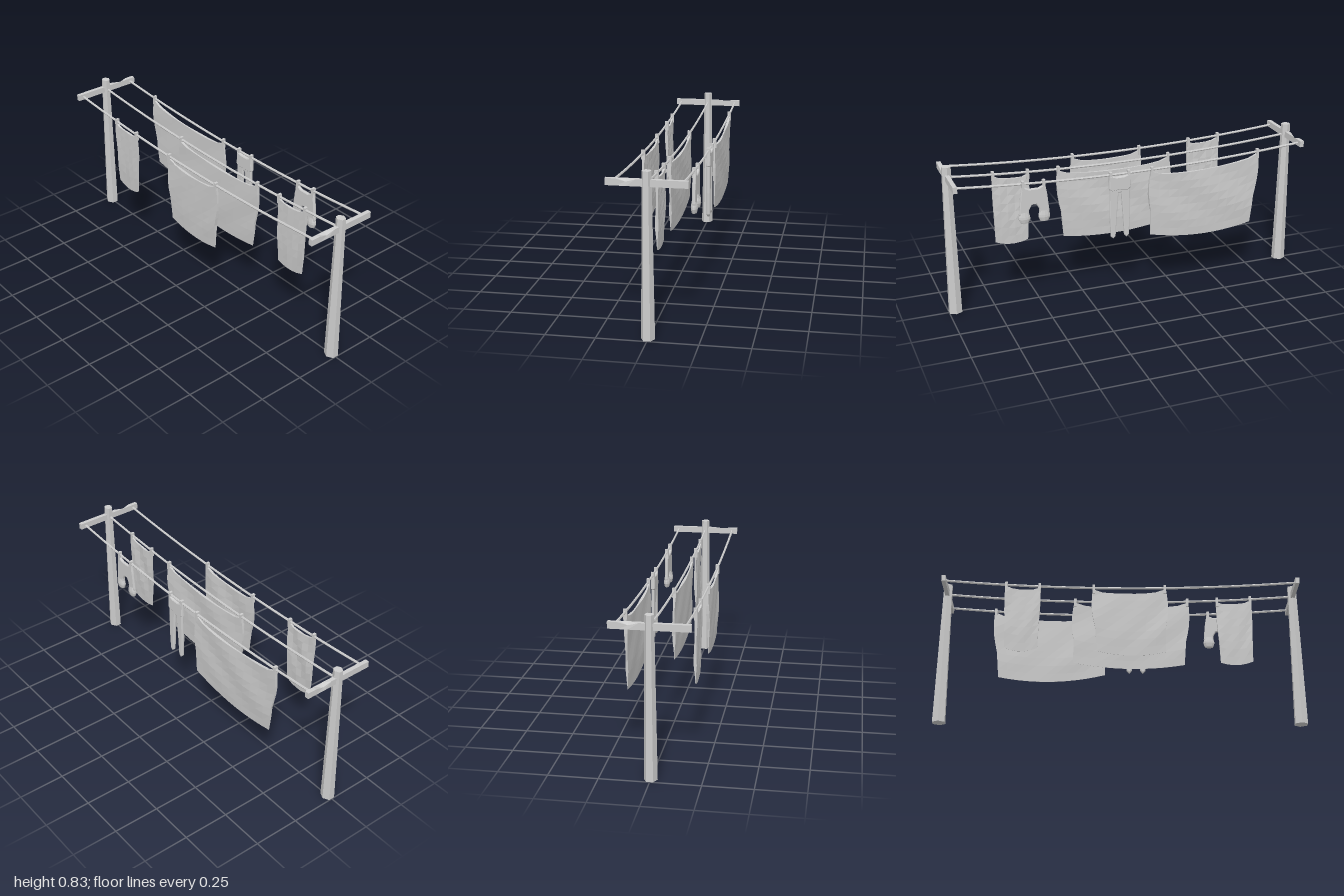
import * as THREE from 'three';

const material = new THREE.MeshStandardMaterial({ color: 0xcccccc, flatShading: true, side: THREE.DoubleSide });
const POST_X = 0.966;
const LINE_Z = 0.165;
const lineY = (x) => 0.728 + 0.042 * (x / POST_X) ** 2;
const lerp = THREE.MathUtils.lerp;

function part(name, geometry) {
  const mesh = new THREE.Mesh(geometry, material);
  mesh.name = name;
  return mesh;
}

// Moves every vertex of a geometry by a rule
function reshape(geometry, rule) {
  const pos = geometry.attributes.position;
  const v = new THREE.Vector3();
  for (let i = 0; i < pos.count; i++) {
    rule(v.fromBufferAttribute(pos, i));
    pos.setXYZ(i, v.x, v.y, v.z);
  }
  geometry.computeVertexNormals();
  return geometry;
}

// Tapered six-sided post with a chipped crossbar
function makeSupport() {
  const group = new THREE.Group();
  group.name = 'support';
  const post = part('post', new THREE.CylinderGeometry(0.023, 0.034, 0.828, 6));
  post.scale.x = 1.13;
  post.position.y = 0.414;
  const bar = part('crossbar', reshape(new THREE.BoxGeometry(0.022, 0.034, 0.392, 1, 1, 8), (v) => {
    if (v.x > 0 && v.y > 0 && Math.abs(v.z - 0.098) < 0.01) {
      v.y -= 0.014;
      v.x -= 0.003;
    }
  }));
  bar.position.y = 0.77;
  group.add(post, bar);
  return group;
}

// Sagging rope between the posts
function makeLine(z) {
  const points = [];
  for (let i = 0; i <= 10; i++) {
    const x = lerp(-POST_X, POST_X, i / 10);
    points.push(new THREE.Vector3(x, lineY(x), z));
  }
  return part('clothesLine', new THREE.TubeGeometry(new THREE.CatmullRomCurve3(points), 20, 0.0065, 6));
}

// Peg gripping the line
function makePeg(x, z) {
  const peg = part('peg', new THREE.BoxGeometry(0.014, 0.052, 0.02));
  peg.position.set(x, lineY(x) - 0.01, z);
  return peg;
}

// Hanging cloth: a thin box drooping between its pegs, tapered to the hem
function makeCloth({ name, z, top, hem, hemY, sag, belly, flare = 0.012, phase }) {
  const nx = Math.max(5, Math.round((top[1] - top[0]) * 18));
  const geometry = reshape(new THREE.BoxGeometry(1, 1, 1, nx, 8, 1), (p) => {
    const u = p.x + 0.5;
    const v = 0.5 - p.y;
    const side = Math.sign(p.z);
    const arch = 4 * u * (1 - u);
    const bulge = flare * Math.sin(Math.PI * Math.min(1, v * 1.6)) * (u < 0.5 ? -1 : 1);
    const x = lerp(lerp(top[0], hem[0], v), lerp(top[1], hem[1], v), u) + bulge * Math.abs(2 * u - 1);
    const topY = lerp(lineY(top[0]), lineY(top[1]), u) - 0.008 - sag * Math.sqrt(arch);
    const bottomY = lerp(hemY[0], hemY[1], u) - belly * arch;
    const y = lerp(topY, bottomY, v);
    // Folds run in arcs from peg to peg and fade at the hem
    const fold = 0.0035 * Math.sin(u * 7 + phase + v * 5) * (1 - 0.5 * v) * Math.sin(Math.PI * Math.min(1, v + 0.15));
    const half = lerp(0.0075, 0.0095, Math.sin(Math.PI * v)) * Math.min(1, (1 - v) * 3 + 0.1)
      * (0.75 + 0.25 * Math.sin(u * 11 + phase + v * 9));
    p.set(x, y, z + fold + side * half);
  });
  return part(name, geometry);
}

// Puffy garment cut from an outline
function makeGarment(name, outline, z, depth) {
  const shape = new THREE.Shape(outline.map(([x, y]) => new THREE.Vector2(x, y)));
  const bevel = depth / 2 - 0.001;
  const geometry = new THREE.ExtrudeGeometry(shape, {
    depth: 0.002, bevelThickness: bevel, bevelSize: 0.006, bevelOffset: -0.006, bevelSegments: 2,
  });
  geometry.translate(0, 0, z - 0.001);
  return part(name, geometry);
}

// Completes a half outline (top centre to crotch) by mirroring it about x
function mirrored(cx, half) {
  const right = half.map(([x, y]) => [cx + x, y]);
  const left = half.map(([x, y]) => [cx - x, y]).reverse();
  return [...right, ...left];
}

export function createModel() {
  const model = new THREE.Group();
  model.name = 'washingLine';

  for (const side of [-1, 1]) {
    const support = makeSupport();
    support.position.x = side * POST_X;
    if (side < 0) support.rotation.y = Math.PI;
    model.add(support);
  }
  for (const z of [-LINE_Z, 0, LINE_Z]) model.add(makeLine(z));

  // Sheets and towels
  const cloths = [
    { name: 'backSheet', z: -LINE_Z, top: [-0.715, -0.085], hem: [-0.68, -0.085], hemY: [0.34, 0.355], sag: 0.042, belly: 0.035, phase: 0 },
    { name: 'middleSheet', z: 0, top: [-0.257, 0.38], hem: [-0.258, 0.352], hemY: [0.355, 0.345], sag: 0.035, belly: 0.03, phase: 2 },
    { name: 'frontSheet', z: LINE_Z, top: [-0.153, 0.247], hem: [-0.128, 0.24], hemY: [0.35, 0.345], sag: 0.03, belly: 0.024, phase: 4 },
    { name: 'frontTowel', z: LINE_Z, top: [-0.63, -0.437], hem: [-0.622, -0.445], hemY: [0.368, 0.365], sag: 0.018, belly: 0.022, flare: 0.003, phase: 1 },
    { name: 'middleTowel', z: 0, top: [0.535, 0.733], hem: [0.55, 0.728], hemY: [0.36, 0.368], sag: 0.02, belly: 0.018, flare: 0.003, phase: 3 },
  ];
  for (const cloth of cloths) {
    model.add(makeCloth(cloth));
    for (const [i, x] of cloth.top.entries()) model.add(makePeg(x + (i ? -0.006 : 0.006), cloth.z));
  }

  // Long trousers with a folded waistband
  const trousers = new THREE.Group();
  trousers.name = 'trousers';
  trousers.add(
    makeGarment('legs', mirrored(0.09, [
      [0.05, 0.71], [0.056, 0.64], [0.058, 0.5], [0.052, 0.38], [0.038, 0.365], [0.024, 0.38], [0.016, 0.5], [0.007, 0.625],
    ]), -LINE_Z, 0.018),
    makeGarment('waistband', mirrored(0.09, [
      [0.02, 0.716], [0.058, 0.728], [0.062, 0.65], [0.045, 0.636], [0.01, 0.64],
    ]), -LINE_Z, 0.022),
    makePeg(0.04, -LINE_Z), makePeg(0.14, -LINE_Z),
  );

  // Shorts with gathered puffy cuffs
  const shorts = new THREE.Group();
  shorts.name = 'shorts';
  shorts.add(makeGarment('body', mirrored(0.558, [
    [0.025, 0.715], [0.062, 0.732], [0.072, 0.68], [0.082, 0.58], [0.072, 0.55], [0.03, 0.55], [0.026, 0.6], [0.012, 0.625],
  ]), -LINE_Z, 0.018));
  const cuffProfile = [[0.001, 0.54], [0.022, 0.53], [0.026, 0.537], [0.032, 0.553], [0.031, 0.565], [0.024, 0.59]]
    .map(([x, y]) => new THREE.Vector2(x, y));
  for (const side of [-1, 1]) {
    const cuff = part('cuff', new THREE.LatheGeometry(cuffProfile, 10));
    cuff.scale.z = 0.56;
    cuff.position.set(0.558 + side * 0.053, 0, -LINE_Z);
    shorts.add(cuff, makePeg(0.558 + side * 0.055, -LINE_Z));
  }
  model.add(trousers, shorts);
  return model;
}
